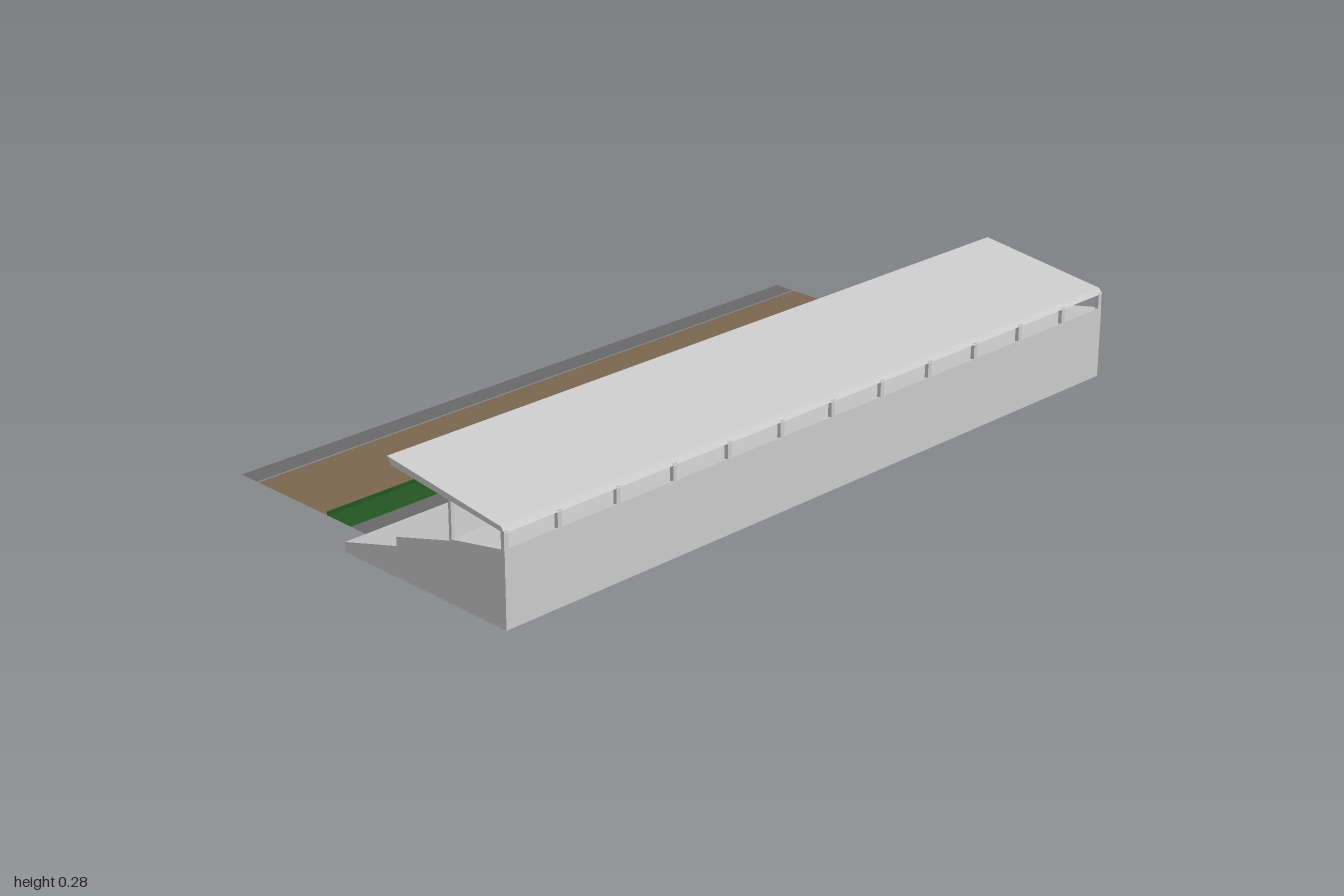
import * as THREE from 'three';

const grey = new THREE.MeshStandardMaterial({ color: 0xcccccc, flatShading: true });

function add(group, name, geometry, material = grey) {
  const mesh = new THREE.Mesh(geometry, material);
  mesh.name = name;
  group.add(mesh);
  return mesh;
}

// Sweeps a [z, y] side profile along x, centred on x = 0
function sweep(profile, width) {
  const shape = new THREE.Shape(profile.map(([z, y]) => new THREE.Vector2(z, y)));
  return new THREE.ExtrudeGeometry(shape, { depth: width, bevelEnabled: false })
    .translate(0, 0, -width / 2)
    .rotateY(-Math.PI / 2);
}

export function createModel() {
  const model = new THREE.Group();
  model.name = 'grandstand';

  // Sloping seating tiers
  add(model, 'seatingTiers', sweep([
    [0.515, 0], [0.515, 0.185], [0.345, 0.152], [0.338, 0.147], [0.163, 0.097],
    [0.163, 0.075], [-0.017, 0.024], [-0.017, 0],
  ], 2));

  // Cantilevered roof
  add(model, 'roof', sweep([
    [0.515, 0.222], [0.505, 0.235], [0.143, 0.28], [0.155, 0.262], [0.503, 0.224],
  ], 2));

  // Press box in the middle of the stand
  add(model, 'pressBox', sweep([
    [0.34, 0.14], [0.34, 0.216], [0.184, 0.216], [0.184, 0.095],
  ], 0.28));

  // Two rows of roof posts
  const posts = new THREE.Group();
  posts.name = 'roofPosts';
  model.add(posts);
  for (let i = -6; i <= 6; i++) {
    const x = THREE.MathUtils.clamp(i * 0.169, -0.994, 0.994);
    add(posts, 'rearPost', new THREE.BoxGeometry(0.012, 0.046, 0.01)).position.set(x, 0.203, 0.509);
    add(posts, 'innerPost', new THREE.BoxGeometry(0.009, 0.098, 0.008)).position.set(x, 0.194, 0.342);
  }

  // Flat ground strips: [name, near z, far z, color]
  const strips = [
    ['apron', -0.017, -0.11, 0x696969],
    ['grassStrip', -0.11, -0.198, 0x235623],
    ['dirtTrack', -0.198, -0.451, 0x7a6650],
    ['outerPath', -0.457, -0.515, 0x696969],
  ];
  for (const [name, near, far, color] of strips) {
    const material = new THREE.MeshStandardMaterial({ color, side: THREE.DoubleSide });
    const geometry = new THREE.PlaneGeometry(1.82, near - far).rotateX(-Math.PI / 2);
    add(model, name, geometry, material).position.z = (near + far) / 2;
  }

  // Low kerb between grass and track
  add(model, 'trackKerb', new THREE.BoxGeometry(1.82, 0.01, 0.002),
    new THREE.MeshStandardMaterial({ color: 0x235623 })).position.set(0, 0.005, -0.194);

  return model;
}
